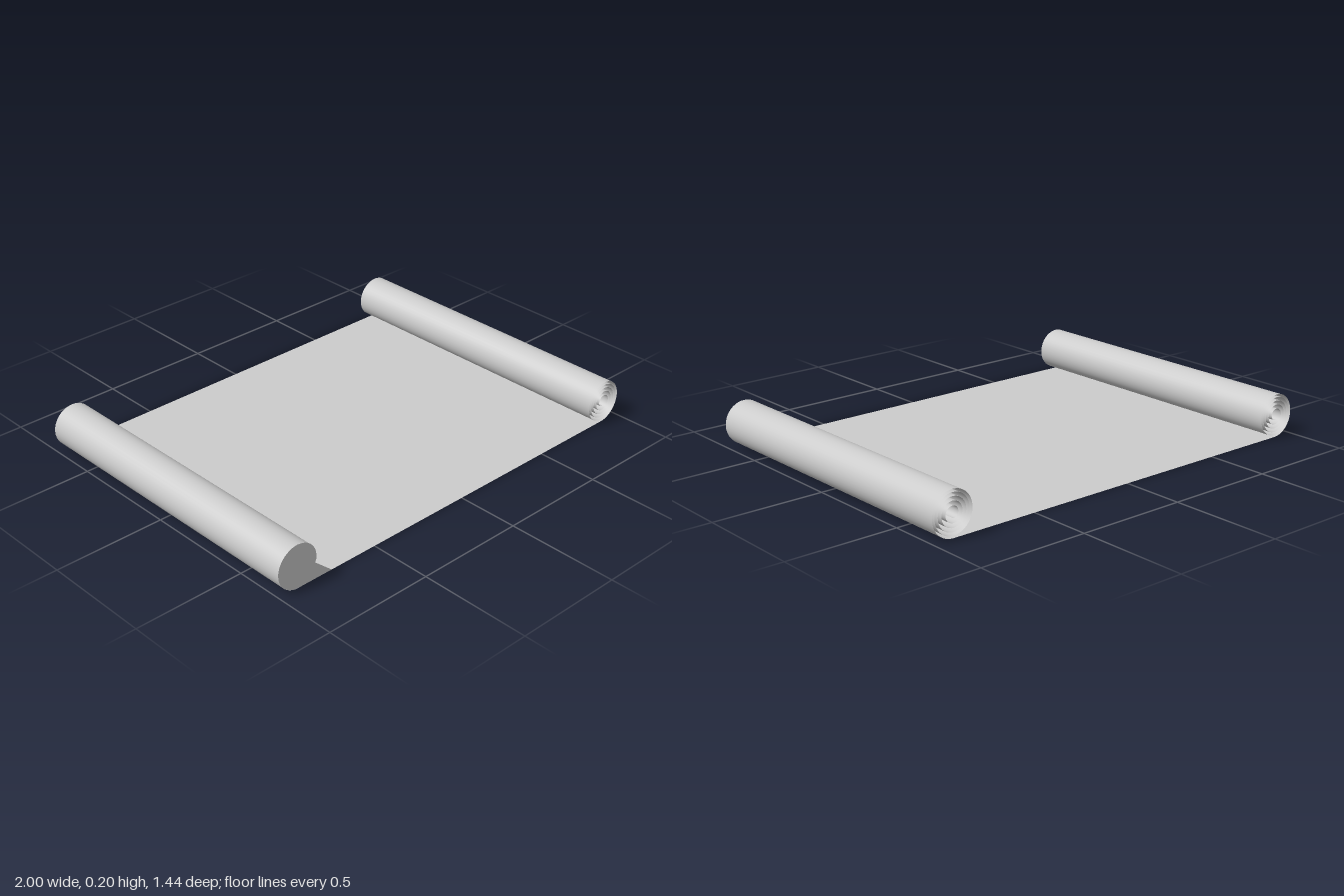
import * as THREE from 'three';

const HALF_DEPTH = 0.72;
const ROLL_X = 0.902;
const ROLL_R = 0.1;
const TURNS = 5;

const paper = new THREE.MeshStandardMaterial({ color: 0xcccccc, side: THREE.DoubleSide });
const capMaterial = new THREE.MeshStandardMaterial({ color: 0xcccccc });

// Sweeps a cross-section, point(t) -> [x, y], along the depth as a thin ribbon
function ribbon(name, segments, point) {
  const geometry = new THREE.PlaneGeometry(1, 2 * HALF_DEPTH, segments, 1);
  const pos = geometry.attributes.position;
  for (let i = 0; i < pos.count; i++) {
    const [x, y] = point(pos.getX(i) + 0.5);
    pos.setXYZ(i, x, y, -pos.getY(i));
  }
  geometry.computeVertexNormals();
  const mesh = new THREE.Mesh(geometry, paper);
  mesh.name = name;
  return mesh;
}

// Spiral that leaves the sheet at the bottom and winds inward
function roll(name, side) {
  return ribbon(name, TURNS * 40, (t) => {
    const a = -Math.PI / 2 + t * TURNS * 2 * Math.PI;
    const r = ROLL_R - 0.08 * Math.pow(t, 1.3);
    return [side * (ROLL_X + r * Math.cos(a)), ROLL_R + r * Math.sin(a)];
  });
}

// Flat face closing the front of the right roll, with a wedge down to the sheet
function endCap() {
  const shape = new THREE.Shape();
  shape.moveTo(-ROLL_X, 0);
  shape.lineTo(-0.73, 0);
  shape.lineTo(-0.815, 0.075);
  const start = -0.1;
  for (let i = 0; i <= 40; i++) {
    const a = start + (i / 40) * (1.5 * Math.PI - start);
    const r = a < Math.PI / 2 ? 0.094 + 0.004 * (a / (Math.PI / 2)) : 0.099;
    shape.lineTo(-ROLL_X + r * Math.cos(a), ROLL_R + r * Math.sin(a));
  }
  const mesh = new THREE.Mesh(new THREE.ShapeGeometry(shape), capMaterial);
  mesh.name = 'frontEndCap';
  mesh.position.z = HALF_DEPTH;
  return mesh;
}

export function createModel() {
  const model = new THREE.Group();
  model.name = 'scroll';
  model.add(
    ribbon('sheet', 1, (t) => [(2 * t - 1) * ROLL_X, 0]),
    roll('leftRoll', 1),
    roll('rightRoll', -1),
    endCap()
  );
  return model;
}
